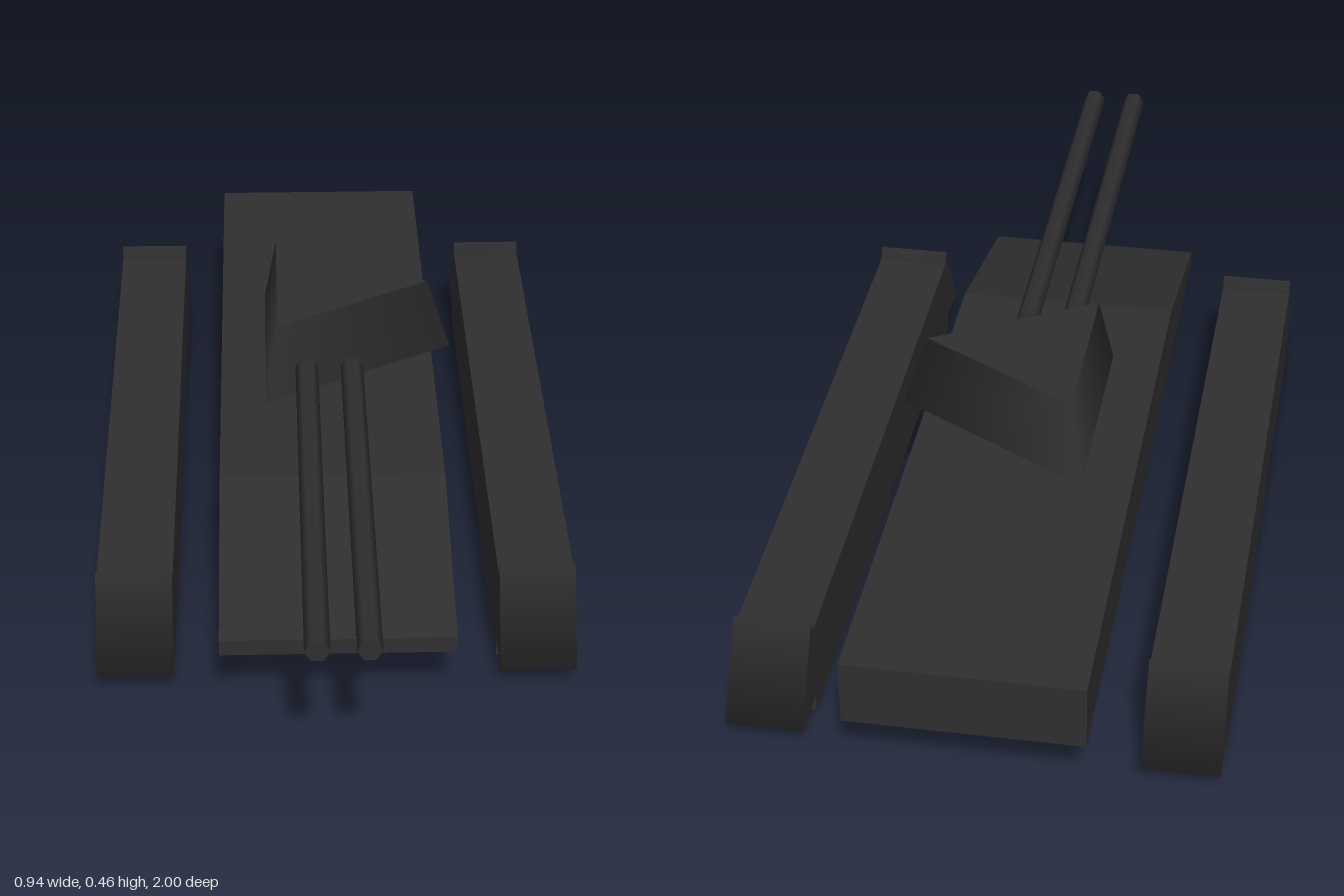
import * as THREE from 'three';

export function createModel() {
  const group = new THREE.Group();
  group.name = 'tank';
  const darkGrey = new THREE.MeshStandardMaterial({ color: 0x2f2f2f });
  darkGrey.name = 'darkGrey';

  function add(name, geometry, x, y, z) {
    const mesh = new THREE.Mesh(geometry, darkGrey);
    mesh.name = name;
    mesh.position.set(x, y, z);
    group.add(mesh);
    return mesh;
  }

  // Hull: side profile (z, y) extruded across the width
  const profile = new THREE.Shape([
    [0.68, 0.133], [0.68, 0.167], [0.265, 0.27], [-1, 0.27], [-1, 0.135],
  ].map(([z, y]) => new THREE.Vector2(z, y)));
  const hullWidth = 0.458;
  const hull = new THREE.ExtrudeGeometry(profile, { depth: hullWidth, bevelEnabled: false });
  hull.translate(0, 0, -hullWidth / 2).rotateY(-Math.PI / 2);
  add('hull', hull, 0, 0, 0);

  // Turret: three-sided tapered block with a corner towards +x
  add('turret', new THREE.CylinderGeometry(0.215, 0.267, 0.16, 3, 1, false, Math.PI / 2), 0, 0.379, -0.203);

  for (const [side, s] of [['left', 1], ['right', -1]]) {
    // Hexagonal gun barrel
    const barrel = new THREE.CylinderGeometry(0.0235, 0.0235, 0.987, 6, 1, false, Math.PI / 6);
    barrel.rotateX(Math.PI / 2);
    add(side + 'Barrel', barrel, s * 0.047, 0.379, 0.5065);

    // Track body with a triangular prism at each end
    const x = s * 0.396;
    add(side + 'Track', new THREE.BoxGeometry(0.15, 0.19, 1.345), x, 0.095, -0.1575);
    for (const [end, z] of [['Front', 0.514], ['Rear', -0.833]]) {
      const prism = new THREE.CylinderGeometry(0.119, 0.119, 0.15, 3, 1, false, Math.PI / 2);
      prism.rotateZ(Math.PI / 2);
      add(side + end + 'TrackEnd', prism, x, 0.0965, z);
    }
  }
  return group;
}
